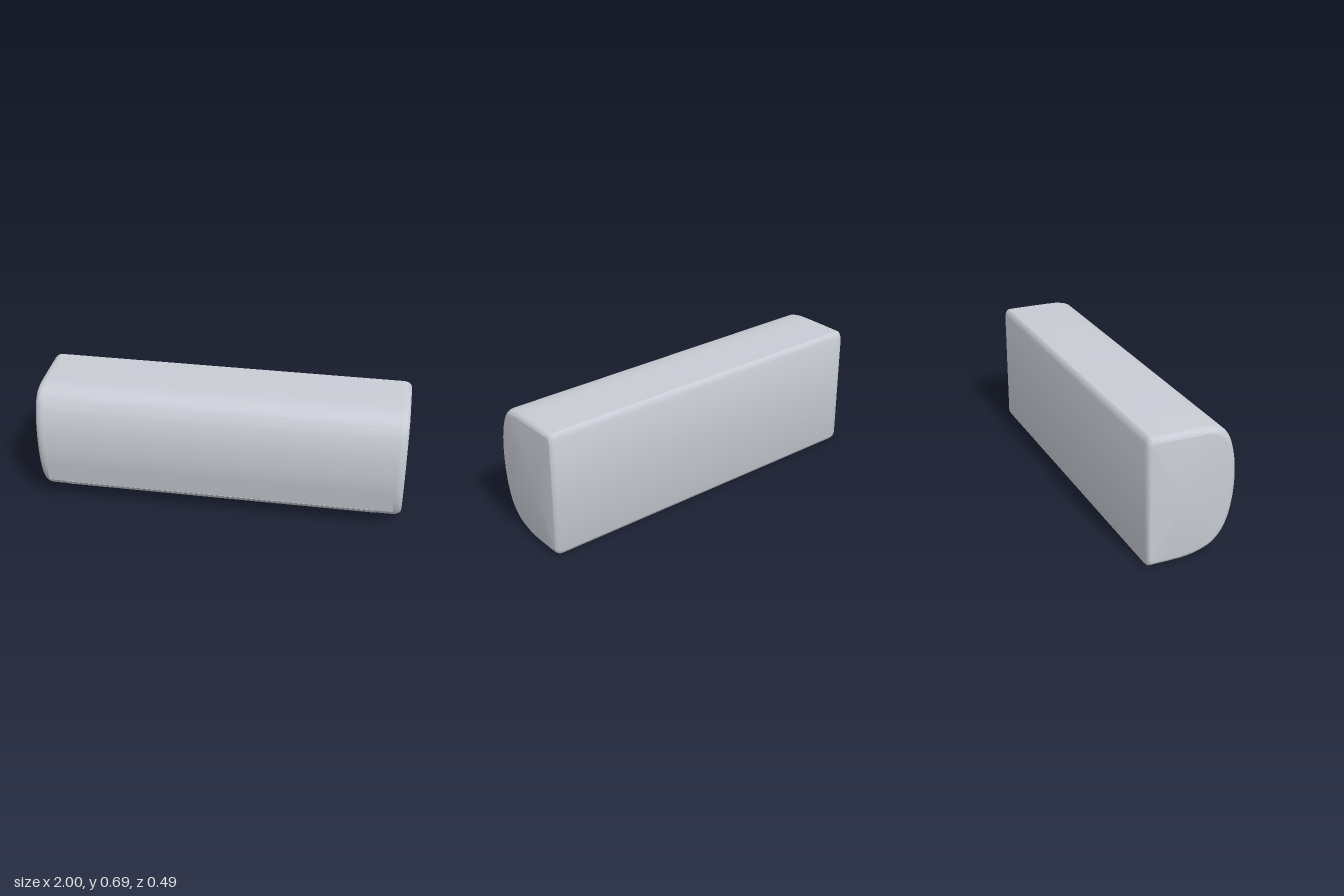
import * as THREE from 'three';
import { toCreasedNormals } from 'three/addons/utils/BufferGeometryUtils.js';

const V = (z, y) => new THREE.Vector2(z, y);
const curve = (pts, n) => new THREE.SplineCurve(pts.map(p => V(...p))).getPoints(n);

// Side profile of the casing as (z, y): chamfered back, rounded front
function bodyProfile() {
  const front = curve([[-0.06, 0.001], [0.02, 0.011], [0.1, 0.038], [0.15, 0.075], [0.187, 0.125],
    [0.217, 0.2], [0.236, 0.3], [0.242, 0.4], [0.236, 0.5], [0.216, 0.59], [0.19, 0.643],
    [0.15, 0.677], [0.09, 0.691]], 48);
  return [V(-0.243, 0.022), V(-0.238, 0.01), V(-0.23, 0.001), V(-0.14, 0), ...front,
    V(0.03, 0.693), V(-0.1, 0.694), V(-0.222, 0.694), V(-0.233, 0.686), V(-0.244, 0.66)];
}

// Casing: the profile swept along x, shrinking in a rounded edge at both ends
function casingGeometry() {
  const profile = bodyProfile(), n = profile.length, cz = -0.06, cy = 0.347;
  const stations = [], steps = 7;
  for (let i = 0; i <= steps; i++) {
    const t = (i / steps) * Math.PI / 2;
    stations.push([-1 + 0.045 * (1 - Math.cos(Math.PI / 2 - t)), 1 - Math.sin(Math.PI / 2 - t)]);
  }
  // Walk from the -x cap to the straight part, then mirror
  const half = stations.map(([, ], i) => {
    const t = (i / steps) * Math.PI / 2;
    return [-1 + 0.045 * (1 - Math.cos(t)), 1 - Math.sin(t)];
  });
  const all = [...half, ...half.slice().reverse().map(([x, k]) => [-x, k])];
  const pos = [], idx = [];
  for (const [x, k] of all) {
    for (const p of profile) {
      pos.push(x, cy + (p.y - cy) * (1 - 0.085 * k), cz + (p.x - cz) * (1 - 0.11 * k));
    }
  }
  for (let s = 0; s < all.length - 1; s++) {
    for (let i = 0; i < n; i++) {
      const a = s * n + i, b = s * n + (i + 1) % n, c = a + n, d = b + n;
      idx.push(a, c, b, b, c, d);
    }
  }
  const left = pos.length / 3, last = (all.length - 1) * n;
  pos.push(-1, cy, cz, 1, cy, cz);
  for (let i = 0; i < n; i++) {
    const j = (i + 1) % n;
    idx.push(left, i, j, left + 1, last + j, last + i);
  }
  const g = new THREE.BufferGeometry();
  g.setAttribute('position', new THREE.Float32BufferAttribute(pos, 3));
  g.setIndex(idx);
  return toCreasedNormals(g, 0.6);
}

// Closed (z, y) outline extruded across the width
function acrossWidth(points, halfWidth) {
  const g = new THREE.ExtrudeGeometry(new THREE.Shape(points),
    { depth: halfWidth * 2, bevelEnabled: false });
  g.translate(0, 0, -halfWidth);
  g.rotateY(-Math.PI / 2);
  return toCreasedNormals(g, 0.5);
}

export function createModel() {
  const group = new THREE.Group();
  const shell = new THREE.MeshStandardMaterial({ color: 0xc9ccd4 });
  shell.name = 'shellGrey';
  const add = (name, geometry) => {
    const mesh = new THREE.Mesh(geometry, shell);
    mesh.name = name;
    group.add(mesh);
  };

  add('casing', casingGeometry());

  // Front panel with a lip overhanging the air outlet
  const panel = curve([[0.209, 0.127], [0.223, 0.2], [0.24, 0.3], [0.245, 0.4],
    [0.239, 0.5], [0.218, 0.59], [0.19, 0.644]], 28);
  add('frontPanel', acrossWidth([V(0.17, 0.108), V(0.185, 0.112), ...panel, V(0.15, 0.6), V(0.15, 0.13)], 0.955));

  // Louver flap lying over the outlet along the curved underside
  const flap = curve([[0.02, 0.008], [0.06, 0.018], [0.103, 0.036], [0.153, 0.073], [0.173, 0.099]], 16);
  add('louverFlap', acrossWidth([...flap, V(0.15, 0.1), V(0.08, 0.05), V(0.02, 0.02)], 0.865));

  return group;
}
